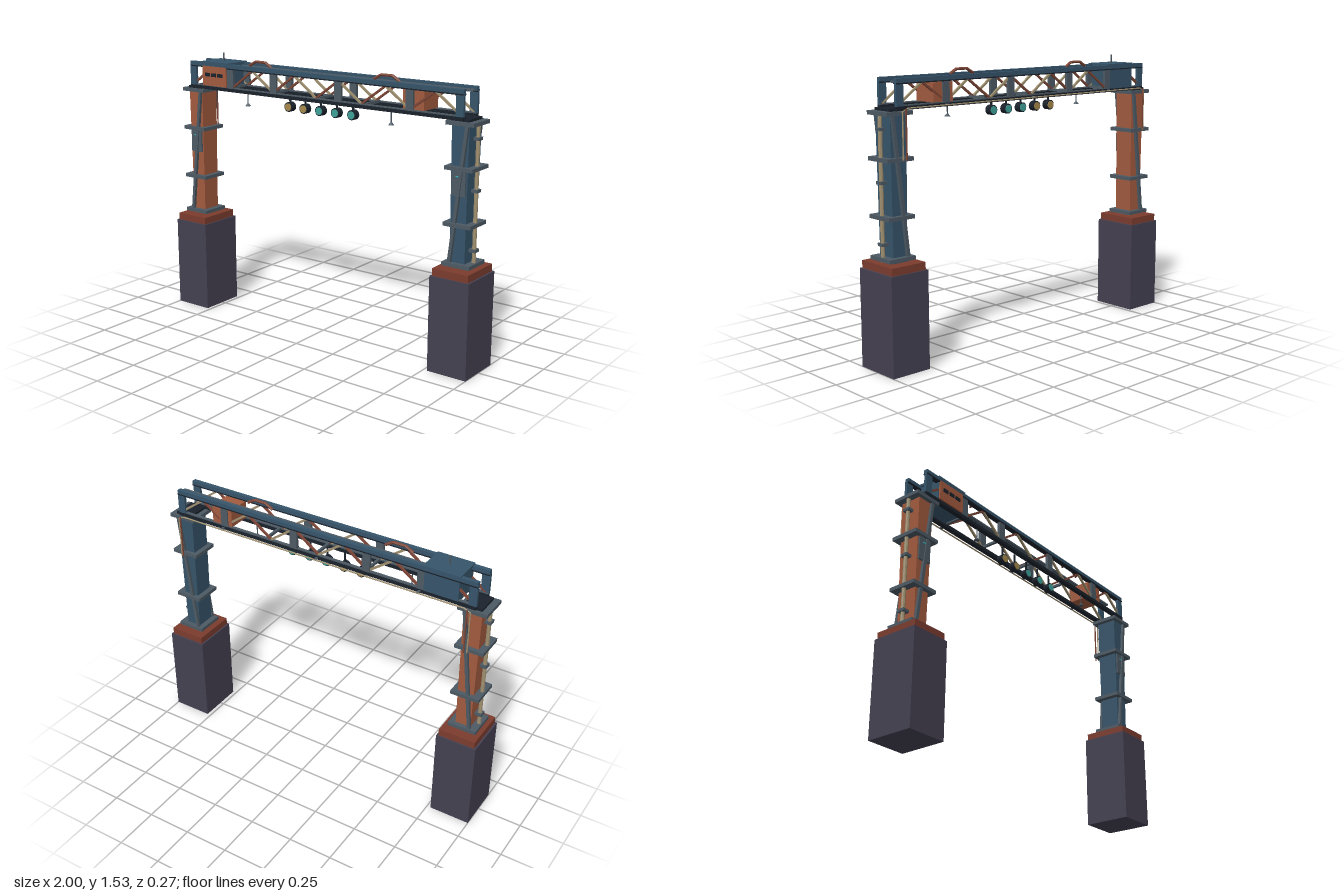
import * as THREE from 'three';

const mat = (c, side = THREE.FrontSide) => new THREE.MeshStandardMaterial({ color: c, flatShading: true, side });
const M = {
  concrete: mat(0x454152), rust: mat(0x7c3c2e), orange: mat(0xa35b3f), blue: mat(0x36546a),
  steel: mat(0x4d5a64), navy: mat(0x1b222c), tan: mat(0xa09070), copper: mat(0x7e4636),
  amber: mat(0xa88a4c), teal: mat(0x3fa39a), cyan: mat(0x35b5bd),
};

function add(parent, name, geo, material, x = 0, y = 0, z = 0) {
  const m = new THREE.Mesh(geo, material);
  m.name = name;
  m.position.set(x, y, z);
  parent.add(m);
  return m;
}
const box = (p, name, m, w, h, d, x, y, z) => add(p, name, new THREE.BoxGeometry(w, h, d), m, x, y, z);

// Square bar running between two points
function bar(p, name, m, a, b, w, d = w) {
  const A = new THREE.Vector3(...a), B = new THREE.Vector3(...b);
  const mesh = add(p, name, new THREE.BoxGeometry(w, A.distanceTo(B), d), m);
  mesh.position.copy(A).add(B).multiplyScalar(0.5);
  mesh.quaternion.setFromUnitVectors(new THREE.Vector3(0, 1, 0), B.sub(A).normalize());
  return mesh;
}

// Tube through straight segments
function pipe(p, name, m, pts, r) {
  const path = new THREE.CurvePath();
  const v = pts.map(q => new THREE.Vector3(...q));
  for (let i = 1; i < v.length; i++) path.add(new THREE.LineCurve3(v[i - 1], v[i]));
  return add(p, name, new THREE.TubeGeometry(path, 48, r, 6), m);
}

// Box whose top half-sizes differ from its bottom ones
function taperedBox(w0, d0, w1, d1, h) {
  const g = new THREE.BoxGeometry(1, h, 1), pos = g.attributes.position;
  for (let i = 0; i < pos.count; i++) {
    const top = pos.getY(i) > 0;
    pos.setX(i, pos.getX(i) * (top ? w1 : w0));
    pos.setZ(i, pos.getZ(i) * (top ? d1 : d0));
  }
  g.computeVertexNormals();
  return g;
}

function buildTower(side, skin) {
  const g = new THREE.Group();
  g.name = side < 0 ? 'rightTower' : 'leftTower';
  const x = side * 0.885;
  box(g, 'pier', M.concrete, 0.228, 0.52, 0.266, side * 0.886, 0.26, 0);
  box(g, 'plinth', M.rust, 0.208, 0.04, 0.25, side * 0.886, 0.54, 0);
  add(g, 'column', taperedBox(0.085, 0.11, 0.1, 0.12, 0.75), skin, x, 0.935, 0);
  for (const y of [0.58, 0.79, 1.08, 1.307]) box(g, 'collar', M.steel, 0.16, 0.02, 0.162, side * 0.889, y, 0);
  // Diagonal braces and service panels on the front and back faces
  for (const s of [-1, 1]) {
    bar(g, 'brace', M.steel, [x - 0.042, 0.57, s * 0.066], [x + 0.042, 1.31, s * 0.066], 0.018, 0.016);
  }
  box(g, 'servicePanel', M.steel, 0.078, 0.14, 0.012, x, 1.01, 0.061);
  box(g, 'panelLight', M.cyan, 0.03, 0.006, 0.004, x, 1.04, 0.068);
  // Outer downpipe with clamps
  add(g, 'downpipe', new THREE.CylinderGeometry(0.011, 0.011, 0.74, 8), M.tan, side * 0.951, 0.935, 0);
  for (const y of [0.655, 0.965, 1.23]) box(g, 'pipeClamp', M.steel, 0.04, 0.016, 0.04, side * 0.947, y, 0);
  return g;
}

function buildTruss() {
  const g = new THREE.Group();
  g.name = 'truss';
  const step = 1.78 / 12;
  for (const s of [-1, 1]) {
    const z = s * 0.066;
    box(g, 'topChord', M.blue, 1.81, 0.022, 0.024, 0, 1.465, z);
    box(g, 'chordLip', M.navy, 1.81, 0.006, 0.028, 0, 1.451, z);
    box(g, 'bottomChord', M.navy, 1.81, 0.018, 0.026, 0, 1.331, z);
    box(g, 'bottomFlange', M.steel, 1.81, 0.006, 0.016, 0, 1.343, z);
    // Zigzag web
    for (let i = 0; i < 12; i++) {
      const y = k => (k % 2 ? 1.452 : 1.345);
      bar(g, 'webDiagonal', i % 2 ? M.tan : M.copper,
        [-0.89 + i * step, y(i), z], [-0.89 + (i + 1) * step, y(i + 1), z], 0.011);
    }
    // Gusset plates
    for (const x of [-0.885, -0.603, -0.29, 0.15, 0.595, 0.885]) {
      box(g, 'gussetPost', Math.abs(x) > 0.8 ? M.blue : M.steel, 0.044, 0.12, 0.016, x, 1.4, z + s * 0.003);
    }
  }
  for (const x of [-0.6, -0.29, 0.015, 0.325]) box(g, 'crossTie', M.steel, 0.013, 0.014, 0.12, x, 1.345, 0);
  for (const x of [-0.885, 0.885]) box(g, 'endSeat', M.navy, 0.1, 0.014, 0.13, x, 1.323, 0);
  box(g, 'walkway', M.steel, 1.5, 0.01, 0.036, 0.15, 1.458, -0.039);
  return g;
}

function buildCabin() {
  const g = new THREE.Group();
  g.name = 'controlCabin';
  box(g, 'cabinBody', M.blue, 0.19, 0.13, 0.152, -0.715, 1.4, -0.002);
  box(g, 'cabinFront', M.orange, 0.178, 0.112, 0.012, -0.718, 1.4, 0.077);
  for (let i = 0; i < 3; i++) box(g, 'window', M.navy, 0.036, 0.02, 0.006, -0.767 + i * 0.047, 1.408, 0.084);
  box(g, 'cabinRoof', M.blue, 0.205, 0.014, 0.16, -0.712, 1.475, 0);
  add(g, 'antenna', new THREE.CylinderGeometry(0.005, 0.005, 0.05, 6), M.steel, -0.715, 1.505, 0);
  return g;
}

function buildSignalLamp(x, lens) {
  const g = new THREE.Group();
  g.name = 'signalLamp';
  g.position.set(x, 1.27, 0.018);
  const disc = (name, r, d, m, z) => add(g, name, new THREE.CylinderGeometry(r, r, d, 16), m, 0, 0, z).rotateX(Math.PI / 2);
  disc('lampHousing', 0.027, 0.036, M.navy, 0);
  disc('lampLens', 0.021, 0.006, lens, 0.019);
  disc('rearLens', 0.021, 0.006, lens, -0.019);
  box(g, 'lampHanger', M.navy, 0.008, 0.06, 0.008, 0, 0.05, 0);
  return g;
}

export function createModel() {
  const root = new THREE.Group();
  root.name = 'gantry';
  root.add(buildTower(-1, M.orange), buildTower(1, M.blue), buildTruss(), buildCabin());

  box(root, 'equipmentBox', M.orange, 0.125, 0.1, 0.135, 0.612, 1.395, -0.004);

  [-0.215, -0.11, -0.003, 0.103, 0.21].forEach((x, i) => root.add(buildSignalLamp(x, i < 2 ? M.amber : M.teal)));

  // Small pendant lights under the front chord
  for (const x of [-0.485, 0.478]) {
    add(root, 'pendantRod', new THREE.CylinderGeometry(0.003, 0.003, 0.065, 6), M.steel, x, 1.296, 0.06);
    add(root, 'pendantShade', new THREE.CylinderGeometry(0.005, 0.016, 0.014, 8), M.steel, x, 1.259, 0.06);
  }

  // Raised pipe loops
  for (const x of [-0.428, 0.418]) {
    pipe(root, 'pipeLoop', M.copper, [[x - 0.08, 1.472, 0.015], [x - 0.035, 1.498, 0.015],
      [x + 0.035, 1.498, 0.015], [x + 0.08, 1.472, 0.015]], 0.008);
  }

  // Rear service conduits, dropping behind the towers
  pipe(root, 'rearConduit', M.tan, [[-0.89, 1.08, -0.103], [-0.89, 1.332, -0.103], [0.89, 1.332, -0.103], [0.89, 1.08, -0.103]], 0.004);
  for (const s of [-1, 1]) bar(root, 'rearCable', M.copper, [s * 0.875, 1.08, -0.111], [s * 0.875, 1.33, -0.111], 0.006);
  for (const x of [-0.6, 0, 0.6]) box(root, 'conduitBracket', M.steel, 0.012, 0.008, 0.03, x, 1.332, -0.09);
  return root;
}
